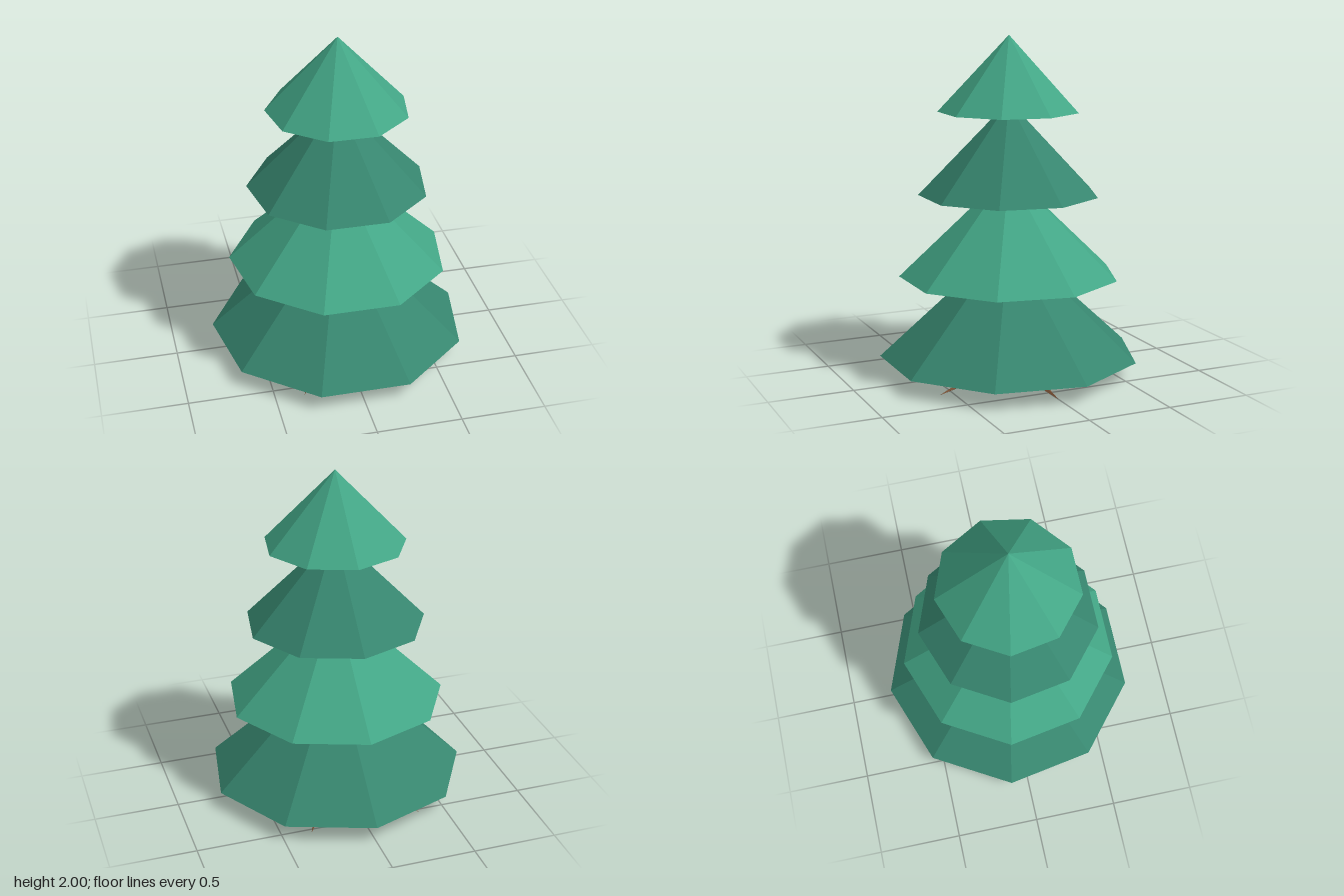
import * as THREE from 'three';

const paint = (color) => new THREE.MeshStandardMaterial({ color, flatShading: true });

export function createModel() {
  const tree = new THREE.Group();
  tree.name = 'tree';
  const lightGreen = paint(0x43a686);
  const darkGreen = paint(0x37866f);
  const brown = paint(0x704a30);
  const teal = new THREE.MeshStandardMaterial({ color: 0x12b8a0 });

  const add = (name, geometry, material, parent = tree) => {
    const mesh = new THREE.Mesh(geometry, material);
    mesh.name = name;
    parent.add(mesh);
    return mesh;
  };

  // Four nine-sided foliage tiers, one corner pointing back: [radius, bottom, apex]
  const tiers = [
    [0.771, 0.1, 0.81],
    [0.651, 0.585, 1.205],
    [0.533, 1.072, 1.62],
    [0.416, 1.56, 2.0],
  ];
  tiers.forEach(([radius, bottom, apex], i) => {
    const cone = new THREE.ConeGeometry(radius, apex - bottom, 9);
    cone.rotateY(Math.PI);
    const tier = add(`foliageTier${i + 1}`, cone, i % 2 ? lightGreen : darkGreen);
    tier.position.y = (apex + bottom) / 2;
  });

  // Short trunk disappearing into the lowest tier
  add('trunk', new THREE.CylinderGeometry(0.09, 0.12, 0.3, 6), brown).position.y = 0.15;

  // Six tapering roots: four-sided spikes that slope down to their tips
  const roots = new THREE.Group();
  roots.name = 'roots';
  tree.add(roots);
  const length = 0.67;
  const spike = new THREE.ConeGeometry(1, length, 4);
  spike.rotateZ(-Math.PI / 2);
  spike.translate(length / 2, 0, 0);
  spike.scale(1, 0.05, 0.08);
  const p = spike.attributes.position;
  for (let i = 0; i < p.count; i++) {
    p.setY(i, p.getY(i) + 0.06 - 0.042 * (p.getX(i) / length));
  }
  spike.computeVertexNormals();
  for (let i = 0; i < 6; i++) {
    add(`root${i + 1}`, spike, brown, roots).rotation.y = (i * Math.PI) / 3;
  }

  // Thin ring under the foliage with four beads
  const ringRadius = 0.415;
  const ring = new THREE.Group();
  ring.name = 'beadRing';
  ring.position.y = 0.08;
  tree.add(ring);
  add('ring', new THREE.TorusGeometry(ringRadius, 0.01, 8, 48), teal, ring).rotation.x = Math.PI / 2;
  const bead = new THREE.SphereGeometry(0.02, 12, 8);
  for (let i = 0; i < 4; i++) {
    const a = (i * Math.PI) / 2;
    add(`bead${i + 1}`, bead, teal, ring).position.set(Math.cos(a) * ringRadius, 0, Math.sin(a) * ringRadius);
  }

  // The nine-sided outline is off-centre, so shift its axis forward
  tree.position.z = 0.023;
  const model = new THREE.Group();
  model.name = 'model';
  model.add(tree);
  return model;
}
